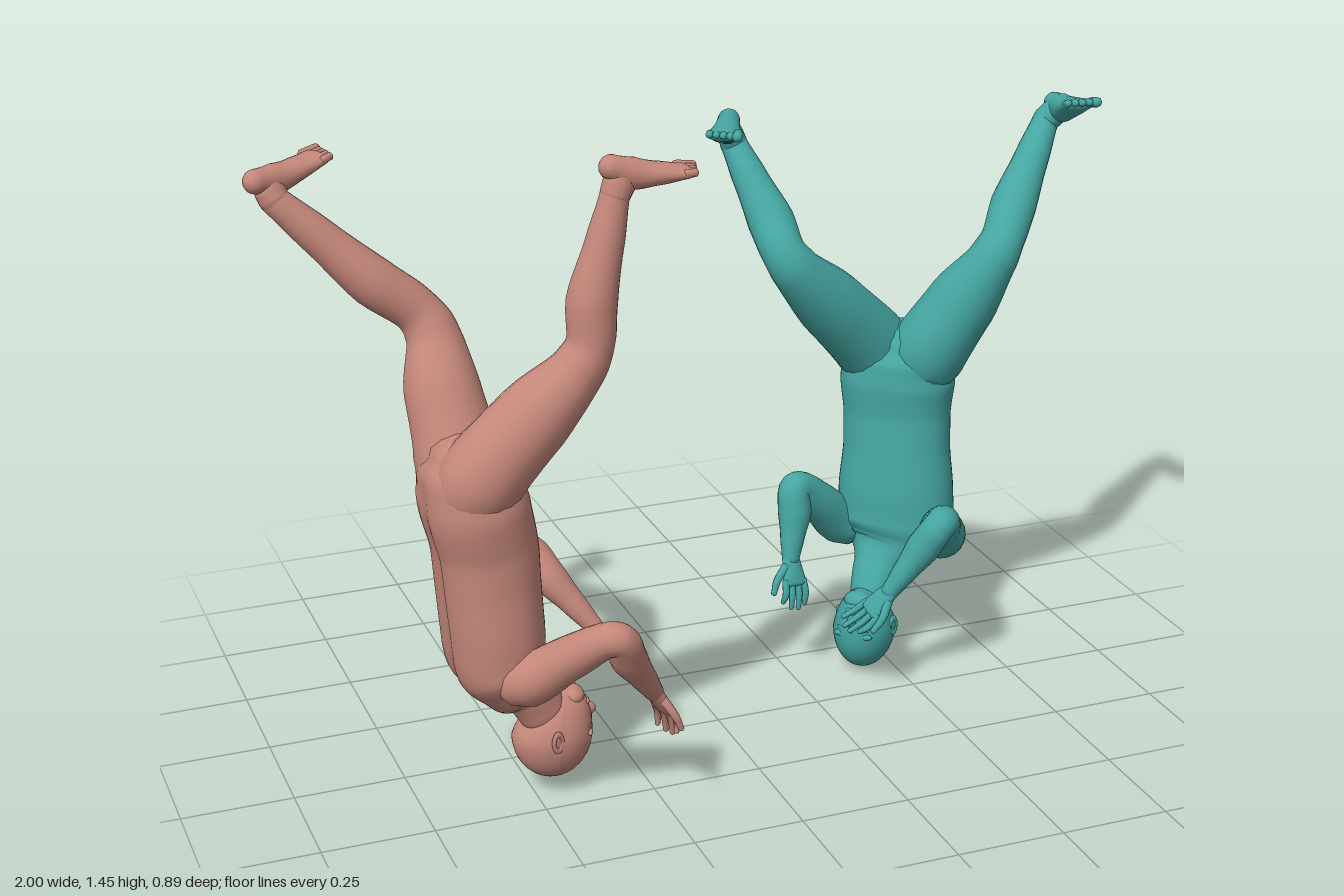
import * as THREE from 'three';

const V = (p) => new THREE.Vector3(...p);
const mix = (a, b, t) => a.map((v, i) => v + (b[i] - v) * t);

// Smooth skin over stations [x, y, z, halfWidth, halfDepth]; halfWidth lies along `side`, ends are rounded
function loft(stations, side, { steps = 5, sides = 20, cap = 0.8, shape = () => 1 } = {}) {
  const curve = new THREE.CatmullRomCurve3(stations.map((s) => V(s.slice(0, 3))));
  const n = (stations.length - 1) * steps;
  const rings = [];
  for (let i = 0; i <= n; i++) {
    const t = i / n, f = t * (stations.length - 1);
    const k = Math.min(Math.floor(f), stations.length - 2);
    let w = f - k;
    w = w * w * (3 - 2 * w) * 0.5 + w * 0.5;
    const [a, b] = [3, 4].map((j) => THREE.MathUtils.lerp(stations[k][j], stations[k + 1][j], w));
    rings.push({ c: curve.getPoint(t), t: curve.getTangent(t), a, b });
  }
  const endCap = (r, dir) => [0.4, 0.75, 0.95, 1].map((h) => {
    const s = Math.max(Math.sqrt(1 - h * h), 0.001);
    return { c: r.c.clone().addScaledVector(r.t, dir * h * cap * Math.min(r.a, r.b)), t: r.t, a: r.a * s, b: r.b * s };
  });
  const all = [...endCap(rings[0], -1).reverse(), ...rings, ...endCap(rings[n], 1)];
  const pos = [], idx = [];
  all.forEach((r, i) => {
    const u = side.clone().addScaledVector(r.t, -side.dot(r.t)).normalize();
    const v = r.t.clone().cross(u);
    for (let j = 0; j < sides; j++) {
      const q = (j / sides) * Math.PI * 2, m = shape(q, i / all.length);
      const p = r.c.clone().addScaledVector(u, Math.cos(q) * r.a * m).addScaledVector(v, Math.sin(q) * r.b * m);
      pos.push(p.x, p.y, p.z);
      if (i < all.length - 1) {
        const A = i * sides + j, B = i * sides + ((j + 1) % sides);
        idx.push(A, B, A + sides, B, B + sides, A + sides);
      }
    }
  });
  const g = new THREE.BufferGeometry();
  g.setAttribute('position', new THREE.Float32BufferAttribute(pos, 3));
  g.setIndex(idx);
  g.computeVertexNormals();
  return g;
}

function add(parent, geometry, material, name) {
  const m = new THREE.Mesh(geometry, material);
  m.name = name;
  parent.add(m);
  return m;
}

function ball(parent, mat, name, p, s) {
  const m = add(parent, new THREE.SphereGeometry(1, 20, 14), mat, name);
  m.position.set(...p);
  m.scale.set(...s);
}

// Limb rooted inside the torso; the joint sits outside the bend, the lower muscle inside it
function limb(parent, mat, name, root, [a, b, c], r) {
  const inward = V(mix(a, c, 0.5)).sub(V(b)).normalize();
  const shift = (p, k) => V(p).addScaledVector(inward, k).toArray();
  const pts = [root, a, mix(a, b, 0.5), shift(mix(a, b, 0.9), -0.004), shift(mix(b, c, 0.08), -0.002),
    shift(mix(b, c, 0.33), 0.01), shift(mix(b, c, 0.7), 0.004), c];
  const axis = V(b).sub(V(a)).cross(V(c).sub(V(b))).normalize();
  add(parent, loft(pts.map((p, i) => [...p, r[i], r[i]]), axis), mat, name);
}

// Palm, four slightly curled fingers and a thumb
function hand(parent, mat, name, wrist, tip, sideArr) {
  const g = new THREE.Group();
  g.name = name;
  parent.add(g);
  const d = V(tip).sub(V(wrist)), len = d.length();
  d.normalize();
  const s = V(sideArr);
  s.addScaledVector(d, -s.dot(d)).normalize();
  const nrm = d.clone().cross(s);
  const at = (along, across, out = 0) => V(wrist).addScaledVector(d, along * len)
    .addScaledVector(s, across).addScaledVector(nrm, out).toArray();
  add(g, loft([[...at(-0.08, 0), 0.02, 0.018], [...at(0.2, 0), 0.027, 0.015], [...at(0.5, 0), 0.034, 0.011]], s, { sides: 14 }), mat, 'palm');
  for (let i = 0; i < 4; i++) {
    const x = (i - 1.5) * 0.017, reach = [0.92, 1, 0.98, 0.84][i];
    add(g, loft([[...at(0.45, x), 0.0085, 0.0085], [...at(0.72, x * 1.15, 0.004), 0.008, 0.008],
      [...at(reach, x * 1.2, 0.018), 0.006, 0.006]], s, { sides: 8, steps: 3 }), mat, 'finger');
  }
  add(g, loft([[...at(0.15, 0.018), 0.011, 0.011], [...at(0.4, 0.044, 0.008), 0.0095, 0.0095],
    [...at(0.64, 0.054, 0.016), 0.007, 0.007]], nrm, { sides: 8, steps: 3 }), mat, 'thumb');
}

// Foot with its sole turned upward, from heel to toe
function foot(parent, mat, name, ankle, heel, toe) {
  const g = new THREE.Group();
  g.name = name;
  parent.add(g);
  const d = V(toe).sub(V(heel)).normalize();
  const s = d.clone().cross(new THREE.Vector3(0, 1, 0)).normalize();
  const up = s.clone().cross(d);
  const at = (t, across, drop) => V(mix(heel, toe, t)).addScaledVector(s, across).addScaledVector(up, -drop).toArray();
  add(g, loft([[...at(0.1, 0, 0.027), 0.026, 0.026], [...at(0.32, 0, 0.035), 0.03, 0.034],
    [...at(0.58, 0, 0.028), 0.036, 0.024], [...at(0.83, 0, 0.017), 0.04, 0.014]], s, { cap: 0.9 }), mat, 'sole');
  const heelIn = at(0.24, 0, 0.035);
  add(g, loft([[...ankle, 0.032, 0.032], [...mix(ankle, heelIn, 0.5), 0.03, 0.035], [...heelIn, 0.027, 0.032]], s), mat, 'ankle');
  for (let i = 0; i < 5; i++) {
    const x = (i - 2) * 0.016, r = 0.009 + (i === 0 ? 0.003 : 0);
    add(g, loft([[...at(0.8, x, 0.015), r, r], [...at(0.96 - i * 0.02, x, 0.012), r, r]], s, { sides: 8, steps: 2 }), mat, 'toe');
  }
}

// Head upside down: crown at the bottom, chin on top, local +z is the face
function head(parent, mat, center, yaw) {
  const g = new THREE.Group();
  g.name = 'head';
  g.position.set(...center);
  g.rotation.y = yaw;
  parent.add(g);
  const skull = new THREE.SphereGeometry(1, 32, 24), p = skull.attributes.position;
  for (let i = 0; i < p.count; i++) {
    const x = p.getX(i), y = p.getY(i), z = p.getZ(i), c = Math.max(y, 0);
    const back = z < 0 ? 1 - 0.35 * c : 1;
    p.setXYZ(i, x * 0.073 * (1 - 0.2 * c), y * 0.104, z * 0.09 * back + 0.03 * c * c);
  }
  skull.computeVertexNormals();
  add(g, skull, mat, 'skull');
  ball(g, mat, 'chin', [0, 0.084, 0.046], [0.034, 0.022, 0.028]);
  ball(g, mat, 'nose', [0, 0.044, 0.084], [0.011, 0.015, 0.016]);
  ball(g, mat, 'noseBridge', [0, 0.026, 0.083], [0.007, 0.022, 0.009]);
  ball(g, mat, 'lips', [0, 0.067, 0.077], [0.02, 0.008, 0.008]);
  for (const k of [-1, 1]) {
    ball(g, mat, 'brow', [k * 0.027, 0.004, 0.075], [0.022, 0.008, 0.009]);
    ball(g, mat, 'eye', [k * 0.027, 0.02, 0.074], [0.013, 0.006, 0.007]);
    const ear = new THREE.Group();
    ear.name = 'ear';
    ear.position.set(k * 0.071, 0.008, -0.005);
    ear.rotation.y = k * 1.25;
    g.add(ear);
    const rim = add(ear, new THREE.TorusGeometry(0.012, 0.005, 8, 18), mat, 'earRim');
    rim.scale.set(0.9, 1.6, 1);
    ball(ear, mat, 'earBowl', [0, 0, 0], [0.011, 0.019, 0.003]);
  }
}

function figure(name, color, d) {
  const g = new THREE.Group();
  g.name = name;
  const mat = new THREE.MeshStandardMaterial({ color });
  const f = V(d.facing).normalize();
  const side = f.clone().cross(new THREE.Vector3(0, 1, 0));
  // Slightly squared torso with a groove along the spine and a faint one down the belly
  const dent = (q, at, width) => Math.exp(-(((q - at) / width) ** 2));
  const section = (q, t) => {
    const square = (Math.abs(Math.cos(q)) ** 2.25 + Math.abs(Math.sin(q)) ** 2.25) ** (-1 / 2.25);
    return square * (1 - (0.11 * dent(q, Math.PI * 1.5, 0.25) + 0.03 * dent(q, Math.PI * 0.5, 0.2)) * Math.sin(Math.PI * t));
  };
  add(g, loft(d.torso, side, { sides: 48, steps: 6, shape: section, cap: 0.6 }), mat, 'torso');
  head(g, mat, d.head, Math.atan2(d.face[0], d.face[2]));
  d.arms.forEach((a, i) => {
    const root = mix(a.joints[0], d.torso[4].slice(0, 3), 0.5);
    limb(g, mat, 'arm' + (i + 1), root, a.joints, [0.055, 0.062, 0.048, 0.038, 0.037, 0.04, 0.029, 0.021]);
    hand(g, mat, 'hand' + (i + 1), a.joints[2], a.tip, a.side);
  });
  // Each leg starts at the back of the hip so that its root forms the buttock
  d.legs.forEach((l, i) => {
    const root = V(mix(l.joints[0], d.torso[6].slice(0, 3), 0.45)).addScaledVector(f, -0.036).toArray();
    limb(g, mat, 'leg' + (i + 1), root, l.joints, [0.078, 0.092, 0.082, 0.058, 0.051, 0.054, 0.041, 0.031]);
    foot(g, mat, 'foot' + (i + 1), l.joints[2], l.heel, l.toe);
  });
  return g;
}

export function createModel() {
  const root = new THREE.Group();
  root.name = 'tumblingFigures';
  root.add(figure('pinkFigure', 0xc4877a, {
    facing: [1, 0, 0], face: [1, 0, 0.05], head: [-0.455, 0.144, 0.16],
    torso: [[-0.475, 0.2, 0.16, 0.05, 0.055], [-0.507, 0.255, 0.157, 0.06, 0.06], [-0.545, 0.295, 0.155, 0.115, 0.08],
      [-0.575, 0.35, 0.152, 0.145, 0.104], [-0.582, 0.43, 0.155, 0.142, 0.108], [-0.589, 0.54, 0.155, 0.134, 0.11],
      [-0.594, 0.62, 0.155, 0.132, 0.112], [-0.612, 0.71, 0.155, 0.142, 0.115], [-0.62, 0.78, 0.15, 0.132, 0.105],
      [-0.62, 0.82, 0.145, 0.1, 0.08]],
    arms: [
      { joints: [[-0.55, 0.34, 0.265], [-0.385, 0.475, 0.41], [-0.275, 0.285, 0.325]], tip: [-0.215, 0.175, 0.285], side: [0.4, 0, 0.9] },
      { joints: [[-0.55, 0.34, 0.035], [-0.425, 0.475, -0.108], [-0.3, 0.3, 0]], tip: [-0.225, 0.2, 0.06], side: [0.6, 0, -0.8] },
    ],
    legs: [
      { joints: [[-0.61, 0.79, 0.215], [-0.385, 1.04, 0.245], [-0.315, 1.37, 0.23]], heel: [-0.34, 1.46, 0.23], toe: [-0.125, 1.413, 0.23] },
      { joints: [[-0.625, 0.79, 0.085], [-0.645, 1.06, -0.035], [-0.94, 1.335, -0.1]], heel: [-1, 1.405, -0.085], toe: [-0.8, 1.415, -0.19] },
    ],
  }));
  root.add(figure('tealFigure', 0x45a6a2, {
    facing: [-0.64, 0, 0.77], face: [-0.72, 0, 0.69], head: [0.437, 0.11, -0.148],
    torso: [[0.46, 0.18, -0.165, 0.05, 0.055], [0.49, 0.235, -0.19, 0.06, 0.06], [0.526, 0.28, -0.21, 0.112, 0.08],
      [0.545, 0.335, -0.22, 0.142, 0.1], [0.549, 0.43, -0.228, 0.138, 0.102], [0.553, 0.53, -0.238, 0.128, 0.1],
      [0.556, 0.61, -0.247, 0.128, 0.1], [0.558, 0.69, -0.252, 0.137, 0.108], [0.56, 0.75, -0.25, 0.13, 0.102],
      [0.56, 0.79, -0.25, 0.098, 0.08]],
    arms: [
      { joints: [[0.62, 0.33, -0.13], [0.535, 0.445, 0.055], [0.425, 0.27, 0.015]], tip: [0.34, 0.17, -0.015], side: [0.45, 0, 0.9] },
      { joints: [[0.44, 0.33, -0.285], [0.28, 0.47, -0.22], [0.255, 0.3, -0.18]], tip: [0.255, 0.195, -0.125], side: [-1, 0, 0.3] },
    ],
    legs: [
      { joints: [[0.61, 0.77, -0.2], [0.745, 1.03, -0.12], [0.94, 1.28, -0.28]], heel: [0.97, 1.34, -0.315], toe: [0.95, 1.37, -0.115] },
      { joints: [[0.505, 0.77, -0.285], [0.255, 1.03, -0.215], [0.195, 1.265, -0.4]], heel: [0.2, 1.345, -0.44], toe: [0.11, 1.335, -0.255] },
    ],
  }));
  return root;
}
